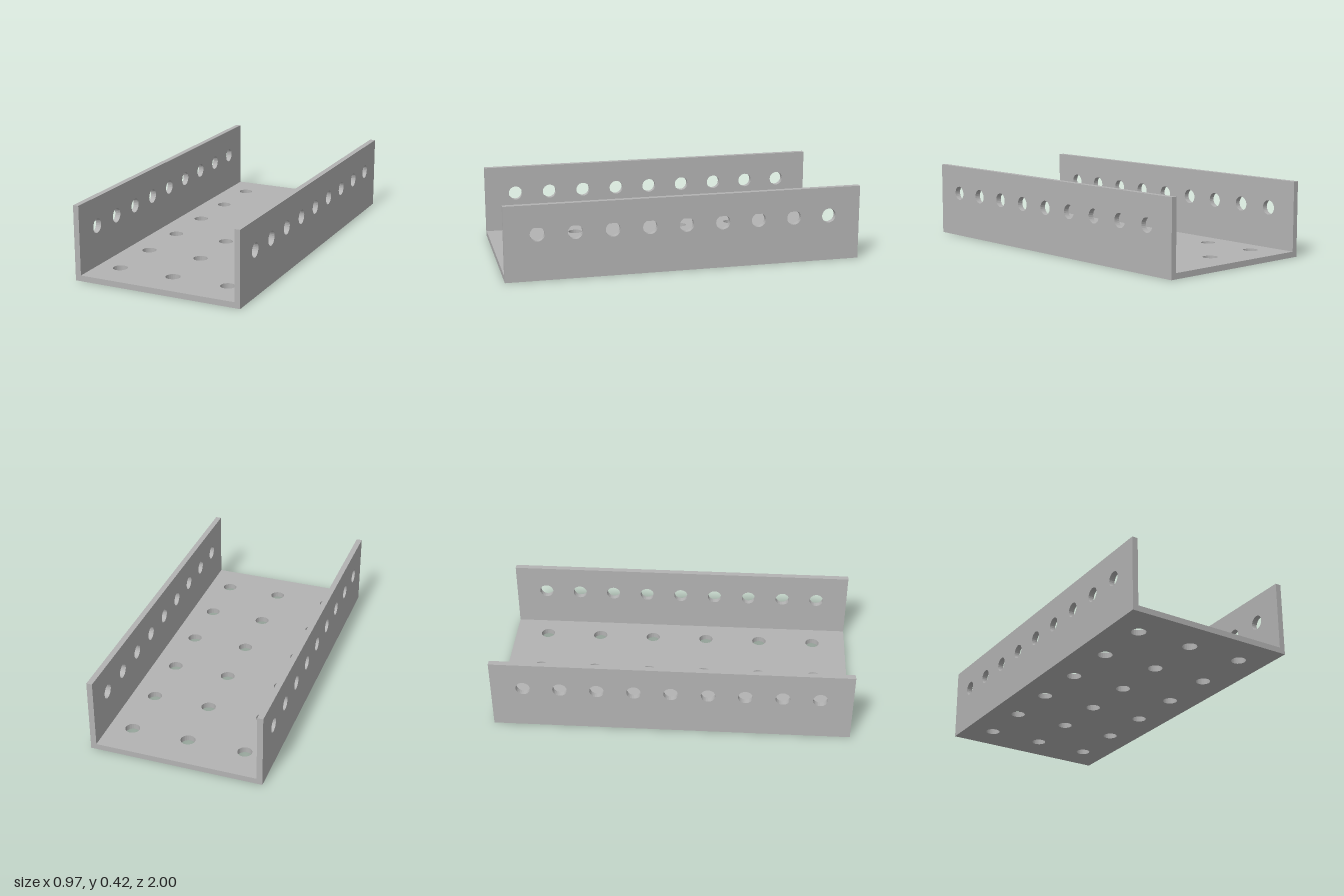
import * as THREE from 'three';

const U = 2 / 62; // one plate thickness
const LENGTH = 2, WIDTH = 30 * U, HEIGHT = 13 * U, HOLE_RADIUS = 1.25 * U;

// Flat plate of thickness U with round holes, extruded along +z
function perforatedPlate(x0, x1, y0, y1, holes) {
  const shape = new THREE.Shape([
    new THREE.Vector2(x0, y0), new THREE.Vector2(x1, y0),
    new THREE.Vector2(x1, y1), new THREE.Vector2(x0, y1),
  ]);
  for (const [x, y] of holes) {
    shape.holes.push(new THREE.Path().absarc(x, y, HOLE_RADIUS, 0, Math.PI * 2, true));
  }
  return new THREE.ExtrudeGeometry(shape, { depth: U, bevelEnabled: false, curveSegments: 12 });
}

export function createModel() {
  const group = new THREE.Group();
  group.name = 'perforatedChannel';
  const metal = new THREE.MeshStandardMaterial({ color: 0xb3b3b3 });
  metal.name = 'greyMetal';
  metal.flatShading = true;

  // Base plate: three columns of six holes
  const baseHoles = [];
  for (let col = -1; col <= 1; col++) {
    for (let row = 0; row < 6; row++) baseHoles.push([col * 10 * U, (row - 2.5) * 10 * U]);
  }
  const baseGeometry = perforatedPlate(-WIDTH / 2, WIDTH / 2, -LENGTH / 2, LENGTH / 2, baseHoles);
  baseGeometry.rotateX(-Math.PI / 2);
  const base = new THREE.Mesh(baseGeometry, metal);
  base.name = 'basePlate';
  group.add(base);

  // Side walls standing on the base: one row of nine holes each
  const wallHoles = [];
  for (let i = -4; i <= 4; i++) wallHoles.push([i * 0.205, 8 * U]);
  const wallGeometry = perforatedPlate(-LENGTH / 2, LENGTH / 2, U, HEIGHT, wallHoles);
  wallGeometry.rotateY(Math.PI / 2);
  for (const [name, x] of [['leftWall', WIDTH / 2 - U], ['rightWall', -WIDTH / 2]]) {
    const wall = new THREE.Mesh(wallGeometry, metal);
    wall.name = name;
    wall.position.x = x;
    group.add(wall);
  }
  return group;
}
